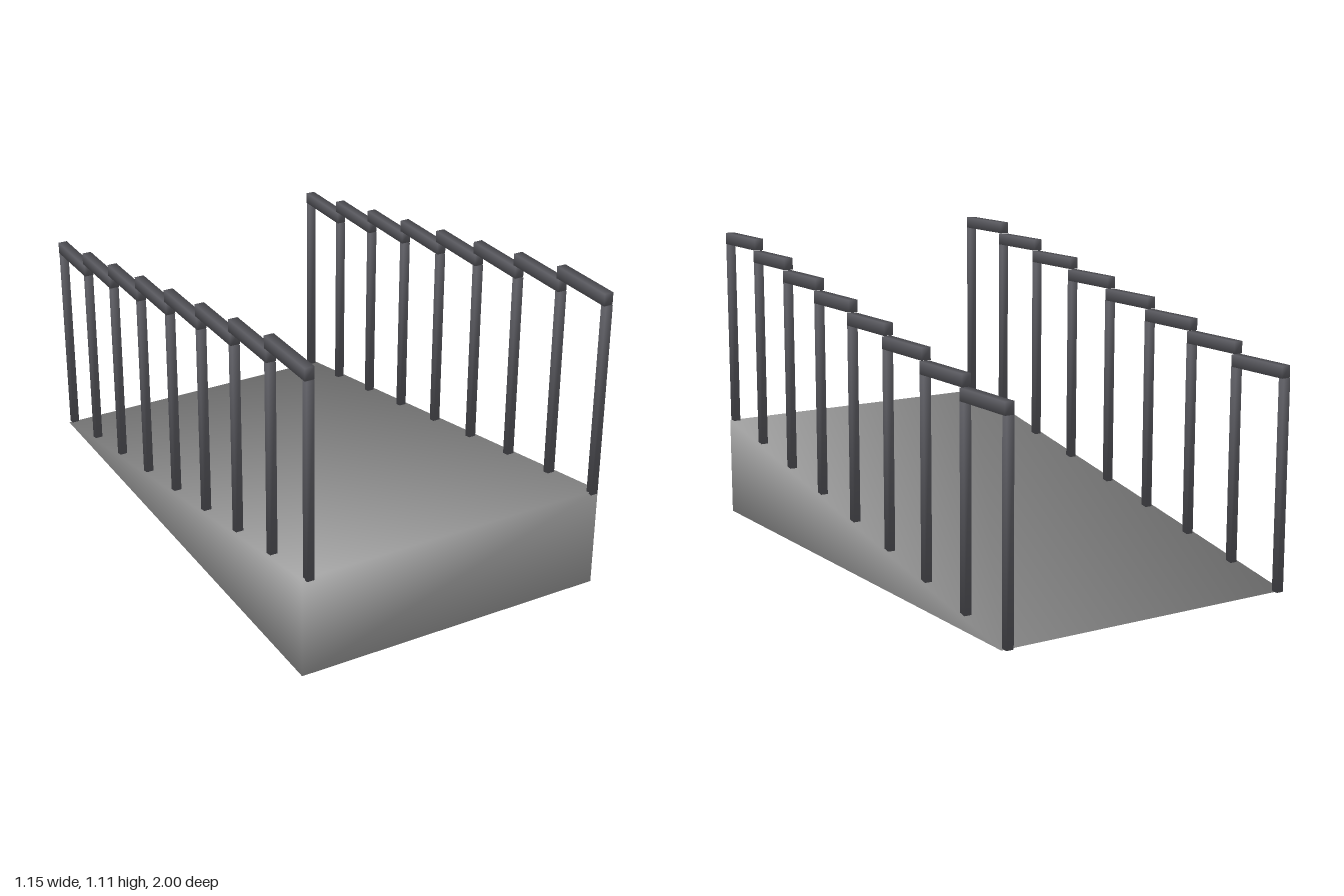
import * as THREE from 'three';
import { mergeVertices } from 'three/addons/utils/BufferGeometryUtils.js';

const HALF_LENGTH = 0.987, HALF_WIDTH = 0.575, RISE = 0.37;
const POSTS = 9, GAP = 2 * HALF_LENGTH / (POSTS - 1), STEP = RISE / (POSTS - 1);
const RAIL_X = 0.551, RAIL_H = 0.043, RAIL_W = 0.034;

// Weld shared corners and give each the average of its faces, weighted by corner angle
function smooth(geometry) {
  geometry.deleteAttribute('normal');
  geometry.deleteAttribute('uv');
  const welded = mergeVertices(geometry);
  const { position } = welded.attributes, index = welded.index;
  const normals = Array.from({ length: position.count }, () => new THREE.Vector3());
  const face = new THREE.Vector3();
  for (let t = 0; t < index.count; t += 3) {
    const ids = [0, 1, 2].map(k => index.getX(t + k));
    const pts = ids.map(id => new THREE.Vector3().fromBufferAttribute(position, id));
    THREE.Triangle.getNormal(...pts, face);
    ids.forEach((id, k) => {
      const toNext = pts[(k + 1) % 3].clone().sub(pts[k]);
      const toLast = pts[(k + 2) % 3].clone().sub(pts[k]);
      normals[id].addScaledVector(face, toNext.angleTo(toLast));
    });
  }
  const data = normals.flatMap(n => n.normalize().toArray());
  welded.setAttribute('normal', new THREE.Float32BufferAttribute(data, 3));
  return welded;
}

const smoothBox = (w, h, d) => smooth(new THREE.BoxGeometry(w, h, d));

// Wedge that rises from the back toe to the front end
function rampGeometry() {
  const geometry = new THREE.BoxGeometry(2 * HALF_WIDTH, RISE, 2 * HALF_LENGTH);
  const p = geometry.attributes.position;
  for (let i = 0; i < p.count; i++) {
    p.setY(i, p.getY(i) > 0 && p.getZ(i) > 0 ? RISE : 0);
  }
  return smooth(geometry);
}

export function createModel() {
  const model = new THREE.Group();
  model.name = 'rampWithHandrails';
  const grey = new THREE.MeshStandardMaterial({ color: 0xa6a6a6 });
  const dark = new THREE.MeshStandardMaterial({ color: 0x5c5c62 });

  const add = (parent, name, geometry, material, x, y, z) => {
    const mesh = new THREE.Mesh(geometry, material);
    mesh.name = name;
    mesh.position.set(x, y, z);
    parent.add(mesh);
  };

  add(model, 'ramp', rampGeometry(), grey, 0, 0, 0);

  const railGeo = smoothBox(RAIL_W, RAIL_H, GAP + 0.014);
  for (const side of [1, -1]) {
    const railing = new THREE.Group();
    railing.name = side > 0 ? 'leftRailing' : 'rightRailing';
    model.add(railing);

    for (let i = 0; i < POSTS; i++) {
      const z = HALF_LENGTH - i * GAP;
      // Posts stand on the slope and reach the underside of their rail
      const top = 1.068 - STEP * Math.min(i, POSTS - 2);
      const foot = Math.max(0, RISE - STEP * i - 0.006);
      const post = smoothBox(0.027, top - foot, 0.026);
      add(railing, 'post', post, dark, side * RAIL_X, (top + foot) / 2, z);

      // Level rail segments step down with the slope
      if (i < POSTS - 1) {
        add(railing, 'handrail', railGeo, dark, side * RAIL_X, top + RAIL_H / 2, z - GAP / 2);
      }
    }
  }
  return model;
}
